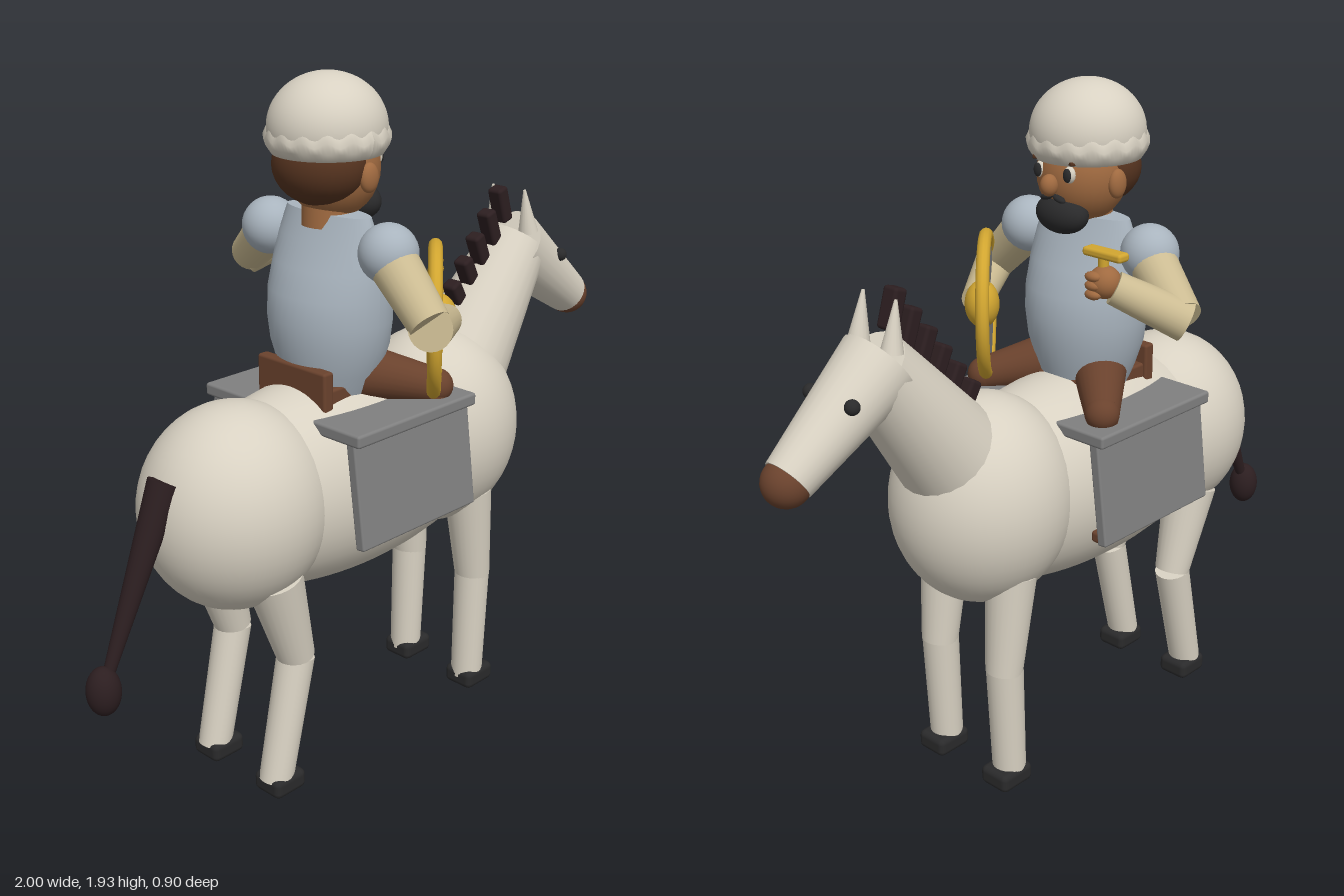
import * as THREE from 'three';
import { RoundedBoxGeometry } from 'three/addons/geometries/RoundedBoxGeometry.js';

const material = (name, color) => {
  const m = new THREE.MeshStandardMaterial({ color });
  m.name = name;
  return m;
};

export function createModel() {
  const cream = material('cream', 0xd8d1c2);
  const mane = material('dark mane', 0x2c1e20);
  const leather = material('brown leather', 0x6a422d);
  const grey = material('grey', 0x808080);
  const steel = material('pale blue', 0xa9b4be);
  const sleeve = material('tan', 0xcbbb92);
  const skin = material('skin', 0xa06a40);
  const gold = material('gold', 0xd2a630);
  const black = material('black', 0x2a2a2b);
  const hair = material('hair brown', 0x55331f);

  const model = new THREE.Group();
  model.name = 'riderOnHorse';
  const group = (name) => {
    const g = new THREE.Group();
    g.name = name;
    model.add(g);
    return g;
  };
  const add = (parent, name, geo, mat, pos = [0, 0, 0]) => {
    const m = new THREE.Mesh(geo, mat);
    m.name = name;
    m.position.set(...pos);
    parent.add(m);
    return m;
  };
  const ball = (parent, name, mat, pos, rx, ry = rx, rz = rx, seg = 32) => {
    const m = add(parent, name, new THREE.SphereGeometry(1, seg, seg / 2), mat, pos);
    m.scale.set(rx, ry, rz);
    return m;
  };
  const box = (parent, name, mat, pos, size, bevel = 0.008) =>
    add(parent, name, new RoundedBoxGeometry(...size, 2, bevel), mat, pos);
  // Tapered cylinder from point a to point b
  const limb = (parent, name, mat, a, b, ra, rb, seg = 24) => {
    const p = new THREE.Vector3(...a), q = new THREE.Vector3(...b);
    const dir = q.clone().sub(p);
    const m = add(parent, name, new THREE.CylinderGeometry(rb, ra, dir.length(), seg), mat);
    m.position.copy(p).add(q).multiplyScalar(0.5);
    m.quaternion.setFromUnitVectors(new THREE.Vector3(0, 1, 0), dir.normalize());
    return m;
  };

  // Horse body, neck and head
  const horse = group('horse');
  ball(horse, 'hindquarters', cream, [-0.5, 0.835, 0], 0.267, 0.285, 0.25, 48);
  ball(horse, 'chest', cream, [0.283, 0.85, 0], 0.265, 0.3, 0.25, 48);
  ball(horse, 'barrel', cream, [-0.1, 0.83, 0], 0.64, 0.295, 0.254, 48);
  limb(horse, 'neck', cream, [0.38, 0.99, 0], [0.66, 1.34, 0], 0.155, 0.1);
  limb(horse, 'head', cream, [0.63, 1.335, 0], [0.93, 1.12, 0], 0.108, 0.067);
  ball(horse, 'muzzle', leather, [0.935, 1.115, 0], 0.064);
  for (let i = 0; i < 6; i++) {
    const block = box(horse, 'maneTuft', mane, [0.34 + i * 0.048, 1.155 + i * 0.062, 0], [0.042, 0.11, 0.05], 0.01);
    block.rotation.z = 0.55 - i * 0.05;
  }
  limb(horse, 'tail', mane, [-0.73, 0.97, 0], [-0.95, 0.48, 0], 0.045, 0.014);
  ball(horse, 'tailTuft', mane, [-0.957, 0.463, 0], 0.046, 0.068, 0.046);

  // Mirrored ears, eyes and legs
  for (const s of [1, -1]) {
    limb(horse, 'ear', cream, [0.64, 1.38, s * 0.062], [0.618, 1.51, s * 0.06], 0.03, 0.004, 16);
    ball(horse, 'horseEye', black, [0.785, 1.285, s * 0.078], 0.02);
    const z = s * 0.13;
    limb(horse, 'frontUpperLeg', cream, [0.305, 0.67, z], [0.338, 0.372, z], 0.072, 0.053);
    limb(horse, 'frontLowerLeg', cream, [0.336, 0.38, z], [0.322, 0.03, z], 0.053, 0.048);
    box(horse, 'frontHoof', black, [0.334, 0.029, z], [0.118, 0.058, 0.102], 0.018);
    limb(horse, 'hindUpperLeg', cream, [-0.485, 0.66, z], [-0.41, 0.395, z], 0.08, 0.053);
    limb(horse, 'hindLowerLeg', cream, [-0.41, 0.395, z], [-0.493, 0.035, z], 0.053, 0.048);
    box(horse, 'hindHoof', black, [-0.478, 0.029, z], [0.112, 0.058, 0.102], 0.018);
  }

  // Saddle cloth with slanted side panels, seat and raised back
  const saddle = group('saddle');
  box(saddle, 'saddlePlate', grey, [-0.103, 1.042, 0], [0.465, 0.036, 0.6]);
  box(saddle, 'seat', leather, [-0.15, 1.09, 0], [0.26, 0.06, 0.24]);
  box(saddle, 'cantle', leather, [-0.272, 1.118, 0], [0.036, 0.115, 0.26]);
  for (const s of [1, -1]) {
    const panel = box(saddle, 'sidePanel', grey, [-0.103, 0.89, s * 0.277], [0.45, 0.315, 0.03], 0.006);
    panel.rotation.x = -s * 0.12;
  }

  // Rider torso: rings of [half depth, half width] from bottom to top
  const rider = group('rider');
  const rings = [[0.115, 0.12], [0.135, 0.15], [0.15, 0.175], [0.155, 0.186], [0.145, 0.188], [0.115, 0.185], [0.08, 0.175], [0.05, 0.15]];
  const torso = new THREE.CylinderGeometry(1, 1, 0.5, 40, rings.length - 1);
  const tp = torso.attributes.position;
  for (let i = 0; i < tp.count; i++) {
    const [rx, rz] = rings[Math.round((tp.getY(i) / 0.5 + 0.5) * (rings.length - 1))];
    tp.setX(i, tp.getX(i) * rx);
    tp.setZ(i, tp.getZ(i) * rz);
  }
  torso.computeVertexNormals();
  add(rider, 'torso', torso, steel, [-0.14, 1.32, 0]);

  // Rider legs and shoulders
  for (const s of [1, -1]) {
    ball(rider, 'shoulder', steel, [-0.145, 1.492, s * 0.222], 0.08);
    limb(rider, 'thigh', leather, [-0.1, 1.13, s * 0.09], [0.045, 1.085, s * 0.225], 0.075, 0.048);
    ball(rider, 'knee', leather, [0.045, 1.085, s * 0.225], 0.048);
    limb(rider, 'shin', leather, [0.045, 1.08, s * 0.225], [-0.04, 0.75, s * 0.25], 0.04, 0.025);
    box(rider, 'boot', leather, [-0.005, 0.732, s * 0.255], [0.19, 0.035, 0.055], 0.01);
  }

  // Arms: the left reaches to the shield, the right holds a hilt
  limb(rider, 'leftUpperArm', sleeve, [-0.145, 1.48, 0.23], [-0.165, 1.34, 0.385], 0.068, 0.056);
  limb(rider, 'leftForearm', sleeve, [-0.18, 1.335, 0.4], [0.02, 1.288, 0.275], 0.058, 0.045);
  limb(rider, 'rightUpperArm', sleeve, [-0.14, 1.48, -0.23], [-0.07, 1.37, -0.395], 0.066, 0.055);
  limb(rider, 'rightForearm', sleeve, [-0.075, 1.36, -0.405], [0.05, 1.45, -0.265], 0.056, 0.045);
  ball(rider, 'rightHand', skin, [0.065, 1.465, -0.245], 0.044);
  for (let i = 0; i < 3; i++) ball(rider, 'finger', skin, [0.1, 1.485 - i * 0.024, -0.235], 0.017, 0.014, 0.025, 16);
  const hilt = group('hilt');
  limb(hilt, 'grip', gold, [0.065, 1.44, -0.24], [0.065, 1.54, -0.24], 0.014, 0.014, 16);
  box(hilt, 'crossBar', gold, [0.063, 1.54, -0.245], [0.042, 0.024, 0.13], 0.009);

  // Head, hair, face and beard
  ball(rider, 'face', skin, [-0.122, 1.682, 0], 0.126, 0.135, 0.126);
  ball(rider, 'hair', hair, [-0.17, 1.695, 0], 0.122, 0.108, 0.134);
  limb(rider, 'neck', skin, [-0.145, 1.53, 0], [-0.14, 1.62, 0], 0.07, 0.07);
  ball(rider, 'nose', skin, [0.012, 1.668, 0], 0.026, 0.03, 0.024);
  ball(rider, 'beard', black, [-0.04, 1.582, 0], 0.054, 0.055, 0.084);
  for (const s of [1, -1]) {
    ball(rider, 'ear', skin, [-0.118, 1.67, s * 0.127], 0.03, 0.04, 0.02);
    ball(rider, 'eyeWhite', cream, [-0.012, 1.7, s * 0.052], 0.014, 0.023, 0.018, 16);
    ball(rider, 'pupil', black, [0, 1.7, s * 0.053], 0.008, 0.019, 0.013, 16);
    const brow = box(rider, 'eyebrow', hair, [-0.012, 1.733, s * 0.052], [0.016, 0.012, 0.045], 0.004);
    brow.rotation.y = s * 0.4;
    const tache = ball(rider, 'moustache', black, [-0.003, 1.632, s * 0.022], 0.012, 0.009, 0.022, 16);
    tache.rotation.x = s * 0.3;
  }

  // Cap dome with a scalloped band
  const dome = add(rider, 'capDome', new THREE.SphereGeometry(1, 48, 16, 0, Math.PI * 2, 0, Math.PI * 0.55), cream, [-0.142, 1.79, 0]);
  dome.scale.set(0.162, 0.143, 0.157);
  const bandPoints = [[0.12, 1.722], [0.148, 1.724], [0.162, 1.745], [0.168, 1.768], [0.158, 1.79]];
  const band = new THREE.LatheGeometry(bandPoints.map(([x, y]) => new THREE.Vector2(x, y)), 96);
  const bp = band.attributes.position;
  for (let i = 0; i < bp.count; i++) {
    const wave = Math.cos(Math.atan2(bp.getX(i), bp.getZ(i)) * 16);
    if (bp.getY(i) > 1.76) bp.setY(i, bp.getY(i) + wave * 0.007);
  }
  band.computeVertexNormals();
  add(rider, 'capBand', band, cream, [-0.142, 0, 0]);

  // Round shield, built facing z and then turned outwards
  const shield = group('shield');
  const disc = add(shield, 'shieldDisc', new THREE.CylinderGeometry(0.195, 0.195, 0.02, 48), grey);
  disc.rotation.x = Math.PI / 2;
  add(shield, 'shieldRim', new THREE.TorusGeometry(0.196, 0.019, 12, 48), gold);
  add(shield, 'shieldRing', new THREE.TorusGeometry(0.115, 0.008, 8, 48), cream, [0, 0, 0.01]);
  ball(shield, 'shieldBoss', gold, [0, 0, 0.012], 0.068, 0.068, 0.05);
  for (let i = 0; i < 12; i++) {
    const a = (i + 0.5) * Math.PI / 6;
    ball(shield, 'rivet', gold, [Math.cos(a) * 0.155, Math.sin(a) * 0.155, 0.012], 0.012, 0.012, 0.01, 12);
  }
  shield.position.set(0.017, 1.285, 0.24);
  shield.rotation.y = 0.73;

  return model;
}
